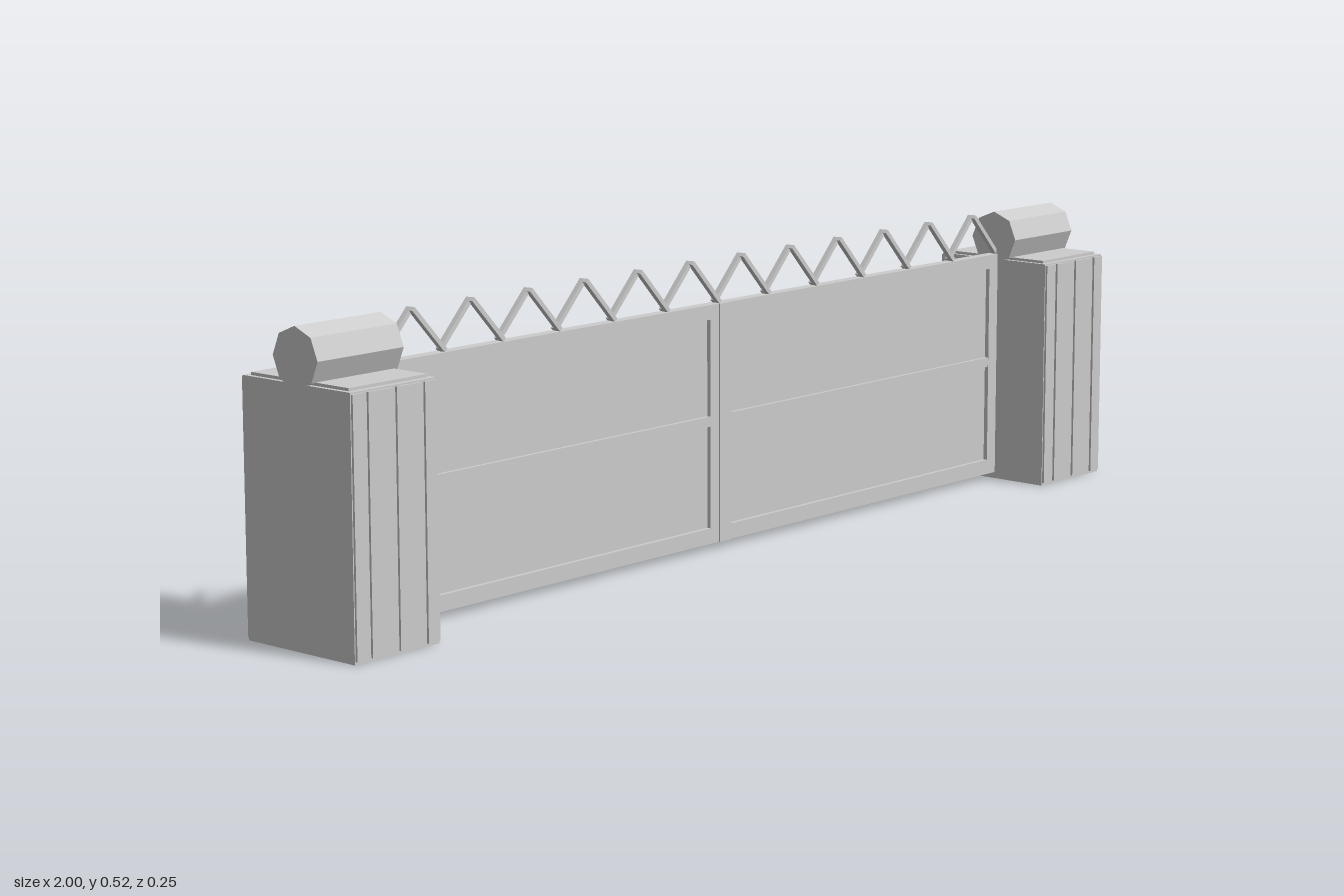
import * as THREE from 'three';

const grey = new THREE.MeshStandardMaterial({ color: 0xcccccc });
grey.name = 'painted grey';

// Box given by its x, y and z ranges
function box(parent, name, [x0, x1], [y0, y1], [z0, z1]) {
  const mesh = new THREE.Mesh(new THREE.BoxGeometry(x1 - x0, y1 - y0, z1 - z0), grey);
  mesh.position.set((x0 + x1) / 2, (y0 + y1) / 2, (z0 + z1) / 2);
  mesh.name = name;
  parent.add(mesh);
  return mesh;
}

// Stone pillar with shallow facing slabs, a cap slab and an octagonal roll on top
function pillar(name, x0, x1) {
  const group = new THREE.Group();
  group.name = name;
  box(group, 'pillarBody', [x0, x1], [0, 0.43], [-0.122, 0.122]);
  const width = x1 - x0;
  for (const [a, b] of [[0.01, 0.15], [0.19, 0.48], [0.52, 0.81], [0.85, 0.99]]) {
    const span = [x0 + a * width, x0 + b * width];
    box(group, 'frontSlab', span, [0.005, 0.427], [0.12, 0.126]);
    box(group, 'backSlab', span, [0.005, 0.427], [-0.126, -0.12]);
  }
  box(group, 'capSlab', [x0 + 0.008, x1 - 0.008], [0.428, 0.435], [-0.111, 0.111]);

  const rollGeometry = new THREE.CylinderGeometry(0.051, 0.051, width, 8).toNonIndexed();
  rollGeometry.computeVertexNormals();
  const roll = new THREE.Mesh(rollGeometry, grey);
  roll.rotation.z = Math.PI / 2;
  roll.position.set((x0 + x1) / 2, 0.47, 0);
  roll.name = 'capRoll';
  group.add(roll);
  return group;
}

// Gate leaf: sheet, perimeter frame, and a rail across the front only
function leaf(name, x0, x1) {
  const group = new THREE.Group();
  group.name = name;
  const t = 0.026;
  const z = [-0.012, 0.01];
  box(group, 'sheet', [x0 + 0.01, x1 - 0.01], [0.02, 0.43], [-0.004, 0.002]);
  box(group, 'topRail', [x0, x1], [0.44 - t, 0.44], z);
  box(group, 'bottomRail', [x0, x1], [0.012, 0.04], z);
  box(group, 'leftStile', [x0, x0 + t], [0.04, 0.44 - t], z);
  box(group, 'rightStile', [x1 - t, x1], [0.04, 0.44 - t], z);
  box(group, 'middleRail', [x0 + t, x1 - t], [0.223, 0.241], [0.002, 0.009]);
  return group;
}

// Zigzag of thin bars, alternating slightly in depth
function zigzag() {
  const group = new THREE.Group();
  group.name = 'zigzagCrest';
  const count = 24;
  const step = 1.63 / count;
  const rise = 0.072;
  const length = Math.hypot(step, rise);
  for (let i = 0; i < count; i++) {
    const up = i % 2 === 0 ? 1 : -1;
    const bar = new THREE.Mesh(new THREE.BoxGeometry(length + 0.006, 0.008, 0.01), grey);
    bar.position.set(-0.815 + (i + 0.5) * step, 0.48, -0.002 - up * 0.004);
    bar.rotation.z = up * Math.atan2(rise, step);
    bar.name = 'crestBar';
    group.add(bar);
  }
  return group;
}

export function createModel() {
  const model = new THREE.Group();
  model.name = 'gate';
  model.add(pillar('rightPillar', -1, -0.815), pillar('leftPillar', 0.815, 1));
  model.add(leaf('rightLeaf', -0.815, -0.002), leaf('leftLeaf', 0.002, 0.815));
  model.add(zigzag());
  // Strip covering the joint between the leaves
  box(model, 'meetingStrip', [-0.006, 0.022], [0.012, 0.44], [0.006, 0.013]);
  return model;
}
